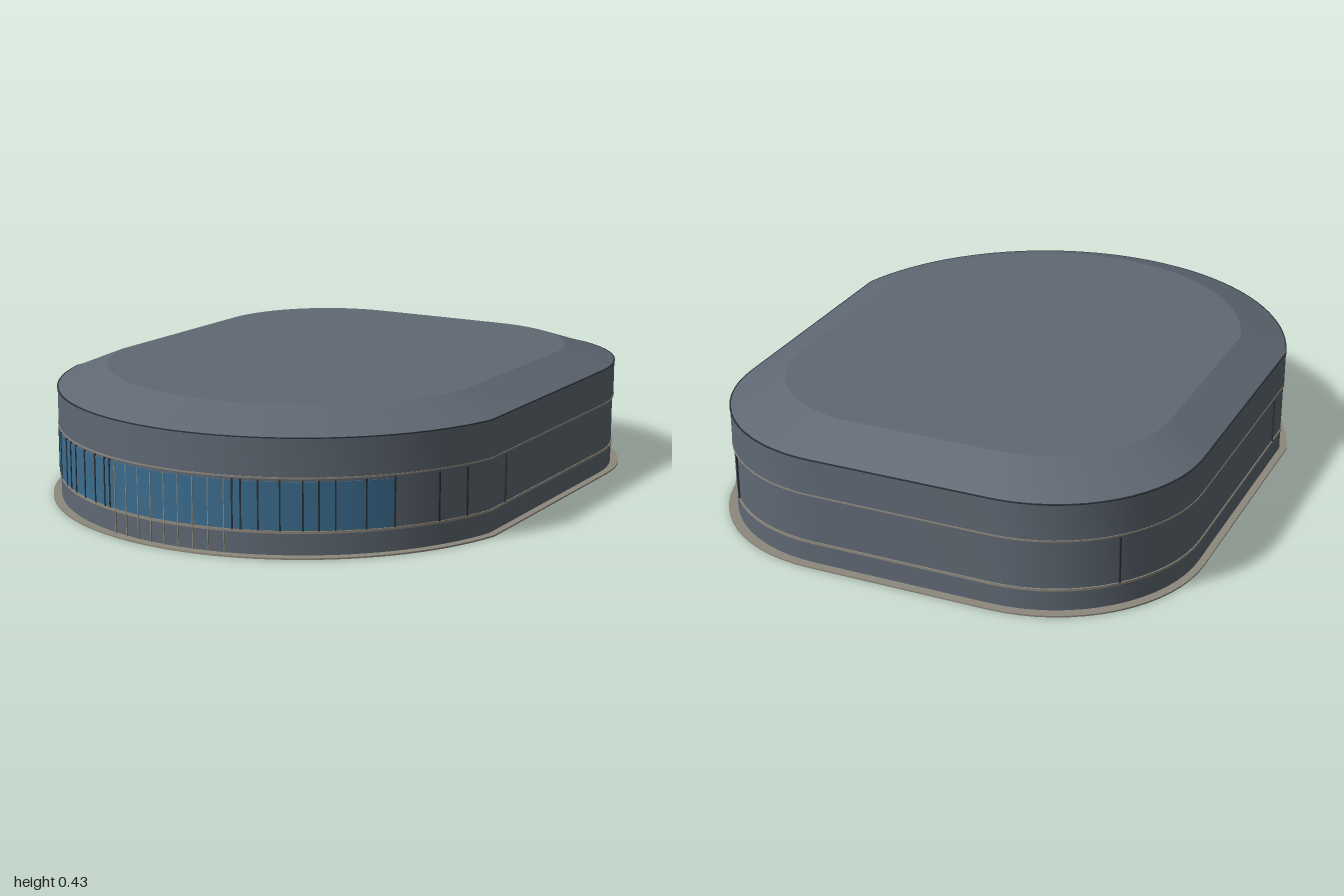
import * as THREE from 'three';
import { toCreasedNormals } from 'three/addons/utils/BufferGeometryUtils.js';

// Plan of the outer wall: straight sides, rounded back corners, bowed front
const W = 0.79, BACK = -0.975, CORNER = 0.49;
const ARC_Z = 0.153, ARC_R = 0.817;
const SIDE = Math.acos((0.36 - ARC_Z) / ARC_R);

const mat = (name, color) => {
  const m = new THREE.MeshStandardMaterial({ color });
  m.name = name;
  return m;
};

// Points [x, z] along the front bow between two angles from +z
function bow(a0, a1, n) {
  return Array.from({ length: n + 1 }, (_, i) => {
    const a = a0 + ((a1 - a0) * i) / n;
    return [ARC_R * Math.sin(a), ARC_Z + ARC_R * Math.cos(a)];
  });
}

function corner(a0, side) {
  return Array.from({ length: 17 }, (_, i) => {
    const a = a0 + (i / 16) * (Math.PI / 2);
    return [side * (W - CORNER) + CORNER * Math.sin(a), BACK + CORNER + CORNER * Math.cos(a)];
  });
}

const plan = [...bow(-SIDE, SIDE, 48), ...corner(Math.PI / 2, 1), ...corner(Math.PI, -1)];

// Upright slab of a plan, optionally tapering to the top
function slab(points, y0, y1, scale = 1, taper = 1) {
  const shape = new THREE.Shape(points.map(([x, z]) => new THREE.Vector2(x * scale, -z * scale)));
  const g = new THREE.ExtrudeGeometry(shape, { depth: y1 - y0, bevelEnabled: false });
  g.rotateX(-Math.PI / 2);
  const p = g.attributes.position;
  for (let i = 0; i < p.count; i++) {
    if (p.getY(i) > (y1 - y0) / 2) p.setXYZ(i, p.getX(i) * taper, p.getY(i), p.getZ(i) * taper);
  }
  g.translate(0, y0, 0);
  return toCreasedNormals(g, 0.3);
}

export function createModel() {
  const model = new THREE.Group();
  model.name = 'arena';
  const cladding = mat('slate cladding', 0x5f6873);
  const glass = mat('blue glass', 0x3b6c8e);
  const stone = mat('warm stone', 0x8e897d);
  const dark = mat('dark frame', 0x2c3138);

  const add = (name, geometry, material) => {
    const m = new THREE.Mesh(geometry, material);
    m.name = name;
    model.add(m);
    return m;
  };

  // Ground apron, walls and sloping roof
  add('apron', slab(plan, 0, 0.005, 1.026), stone);
  add('lowerWall', slab(plan, 0.005, 0.24, 0.996), cladding);
  add('upperWall', slab(plan, 0.24, 0.364), cladding);
  add('roof', slab(plan, 0.364, 0.425, 1, 0.82), cladding);

  // Thin bands running round the building
  add('eaveLine', slab(plan, 0.362, 0.365, 1.002), dark);
  add('upperBand', slab(plan, 0.24, 0.245, 1.002), stone);
  add('lowerBand', slab(plan, 0.072, 0.08, 1.0), stone);

  // Curved front window
  const half = Math.asin(0.63 / ARC_R);
  add('frontGlass', slab(bow(-half, half, 40), 0.082, 0.23, 0.999), glass);

  // Upright bars set against the wall
  const bar = (name, x, z, angle, y0, y1, width, material) => {
    const m = add(name, new THREE.BoxGeometry(width, y1 - y0, 0.008), material);
    m.position.set(x, (y0 + y1) / 2, z);
    m.rotation.y = angle;
  };
  const frontBar = (name, x, y0, y1, width, material) => {
    const a = Math.asin(x / ARC_R);
    bar(name, x * 0.997, (ARC_Z + ARC_R * Math.cos(a)) * 0.997, a, y0, y1, width, material);
  };

  for (let i = -4; i <= 4; i++) frontBar('paleMullion', i * 0.05, 0.005, 0.23, 0.003, stone);
  for (const s of [-1, 1]) {
    for (const x of [0.225, 0.25, 0.3, 0.36, 0.42, 0.46, 0.5, 0.57, 0.63]) {
      frontBar('darkMullion', s * x, 0.08, 0.235, 0.005, dark);
    }
    // Panel joints along the sides
    for (const z of [0.55, 0.455]) {
      const a = Math.acos((z - ARC_Z) / ARC_R);
      frontBar('sideJoint', s * ARC_R * Math.sin(a), 0.08, 0.235, 0.005, dark);
    }
    bar('sideJoint', s * W * 0.997, 0.255, Math.PI / 2, 0.08, 0.235, 0.005, dark);
    // Joint on the rounded back corner
    const a = 2.33;
    bar('backJoint', s * (W - CORNER + CORNER * Math.sin(a)) * 0.997,
      (BACK + CORNER + CORNER * Math.cos(a)) * 0.997, s * a, 0.08, 0.235, 0.005, dark);
  }
  return model;
}
